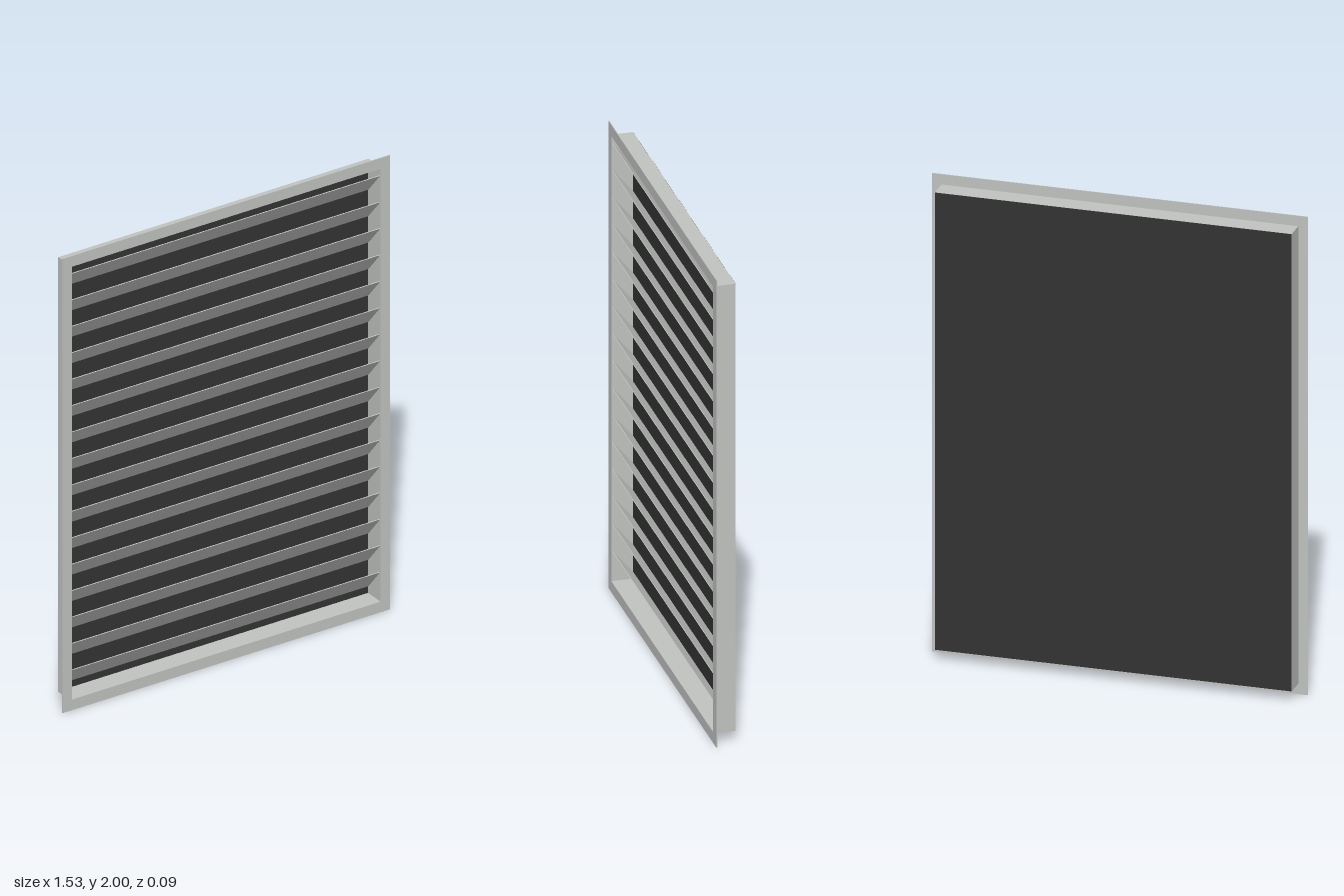
import * as THREE from 'three';

export function createModel() {
  const model = new THREE.Group();
  model.name = 'louvreVent';

  const metal = new THREE.MeshStandardMaterial({ color: 0xc0c2c0 });
  metal.name = 'light grey metal';
  const dark = new THREE.MeshStandardMaterial({ color: 0x333333 });
  dark.name = 'dark backing';

  const add = (parent, name, geometry, material) => {
    const mesh = new THREE.Mesh(geometry, material);
    mesh.name = name;
    parent.add(mesh);
    return mesh;
  };

  // Rectangular ring centred on y = 1, extruded along z
  const ring = (outerX, outerY, innerX, innerY, depth) => {
    const corners = (x, y) => [[-x, 1 - y], [x, 1 - y], [x, 1 + y], [-x, 1 + y]]
      .map(([a, b]) => new THREE.Vector2(a, b));
    const shape = new THREE.Shape(corners(outerX, outerY));
    shape.holes.push(new THREE.Path(corners(innerX, innerY)));
    return new THREE.ExtrudeGeometry(shape, { depth, bevelEnabled: false });
  };

  // Thin front flange and the sleeve behind it
  add(model, 'flange', ring(0.765, 1, 0.722, 0.953, 0.004), metal).position.z = 0.041;
  add(model, 'sleeve', ring(0.726, 0.957, 0.722, 0.953, 0.085), metal).position.z = -0.044;

  // Dark backing sheet closing the sleeve
  add(model, 'backPanel', new THREE.BoxGeometry(1.45, 1.912, 0.003), dark)
    .position.set(0, 1, -0.0435);

  // Sloping slats, front edge high and back edge low
  const slats = new THREE.Group();
  slats.name = 'slats';
  model.add(slats);
  const count = 16, pitch = 0.1164, rise = 0.096, run = 0.08;
  const slatGeometry = new THREE.BoxGeometry(1.444, Math.hypot(rise, run), 0.003);
  for (let i = 0; i < count; i++) {
    const slat = add(slats, `slat${i + 1}`, slatGeometry, metal);
    slat.position.set(0, 1 + (i - (count - 1) / 2) * pitch, 0);
    slat.rotation.x = Math.atan2(run, rise);
  }

  return model;
}
